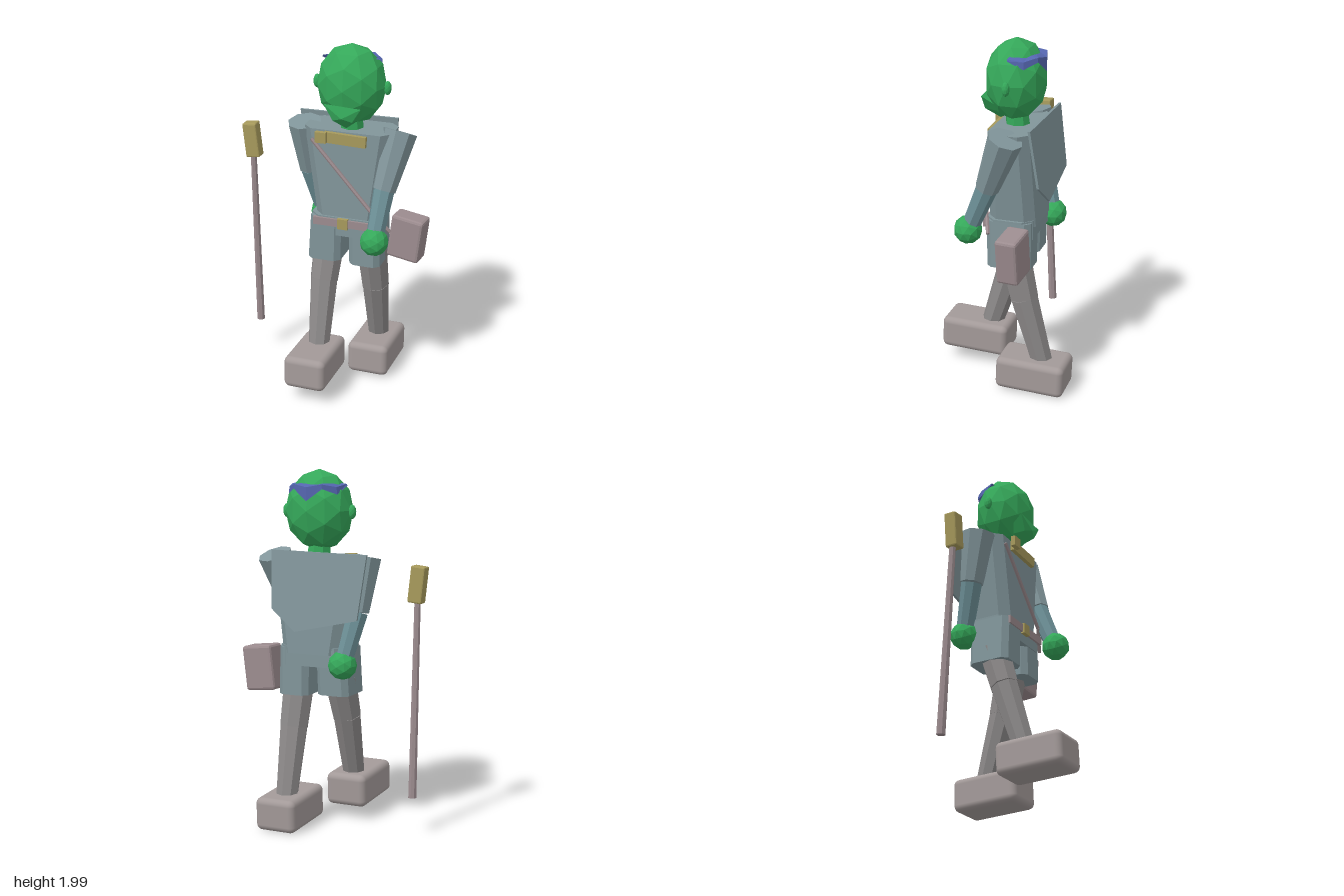
import * as THREE from 'three';
import { RoundedBoxGeometry } from 'three/addons/geometries/RoundedBoxGeometry.js';
import { ConvexGeometry } from 'three/addons/geometries/ConvexGeometry.js';

const V = (p) => new THREE.Vector3(...p);
const mat = (color, flatShading = true) => new THREE.MeshStandardMaterial({ color, flatShading });
const skin = mat(0x35a85a);
const cloth = mat(0x81959a);
const sleeve = mat(0x6d9097);
const trouser = mat(0x8c8989);
const leather = mat(0x9c8c8f);
const shoe = mat(0xa39a99, false);
const gold = mat(0xa79a5c);
const blue = mat(0x5566b0);
blue.side = THREE.DoubleSide;

export function createModel() {
  const root = new THREE.Group();

  const add = (name, geometry, material, pos = [0, 0, 0], rot = [0, 0, 0], scale = [1, 1, 1]) => {
    const mesh = new THREE.Mesh(geometry, material);
    mesh.name = name;
    mesh.position.set(...pos);
    mesh.rotation.set(...rot);
    mesh.scale.set(...scale);
    root.add(mesh);
    return mesh;
  };
  const box = (name, size, pos, material, rot) => add(name, new THREE.BoxGeometry(...size), material, pos, rot);
  const ball = (name, size, pos, material = skin) =>
    add(name, new THREE.IcosahedronGeometry(1, 1), material, pos, [0, 0, 0], size);

  // tapered faceted rod from point a to point b
  const limb = (name, a, b, ra, rb, material, sides = 8) => {
    const from = V(a), to = V(b), dir = to.clone().sub(from);
    const mesh = add(name, new THREE.CylinderGeometry(rb, ra, dir.length(), sides), material);
    mesh.position.copy(from).lerp(to, 0.5);
    mesh.quaternion.setFromUnitVectors(new THREE.Vector3(0, 1, 0), dir.normalize());
  };

  // solid block with chamfered corners; each section is [y, x, z, half width, half depth]
  const block = (name, sections, material, cut = 0.05) => {
    const points = [];
    for (const [y, x, z, w, d] of sections)
      for (const sx of [-1, 1])
        for (const sz of [-1, 1])
          points.push(V([x + sx * w, y, z + sz * (d - cut)]), V([x + sx * (w - cut), y, z + sz * d]));
    add(name, new ConvexGeometry(points), material);
  };

  // head, ears, snout and neck
  ball('head', [0.195, 0.225, 0.168], [0.105, 1.775, -0.06]);
  for (const s of [-1, 1]) ball('ear', [0.022, 0.04, 0.022], [0.105 + s * 0.2, 1.77, -0.063]);
  add('snout', new ConvexGeometry([
    [0, 1.7, 0.105], [0.21, 1.69, 0.105], [0.105, 1.63, 0.12], [0.05, 1.61, 0.1], [0.16, 1.61, 0.1],
    [0.105, 1.55, 0.03], [0.03, 1.6, -0.04], [0.18, 1.6, -0.04],
  ].map(V)), skin);
  limb('neck', [0.105, 1.49, -0.07], [0.105, 1.62, -0.06], 0.07, 0.06, skin);

  // kerchief wrapped round the back of the head, with a drooping point
  const drops = [0.005, 0.05, 0.02, 0.085, 0.02, 0.05, 0.005];
  const rows = [], index = [];
  drops.forEach((drop, i) => {
    const a = Math.PI * (i / 6), c = Math.cos(a), s = -Math.sin(a);
    rows.push(0.105 + c * 0.13, 1.925, -0.06 + s * 0.1);
    rows.push(0.105 + c * 0.165, 1.92 - 0.015 * (i % 2), -0.06 + s * 0.165);
    rows.push(0.105 + c * 0.17, 1.915 - drop, -0.06 + s * 0.165);
    if (i < 6) for (const r of [0, 1]) {
      const k = i * 3 + r;
      index.push(k, k + 3, k + 1, k + 1, k + 3, k + 4);
    }
  });
  const kerchief = new THREE.BufferGeometry();
  kerchief.setAttribute('position', new THREE.Float32BufferAttribute(rows, 3));
  kerchief.setIndex(index);
  kerchief.computeVertexNormals();
  add('kerchief', kerchief, blue);

  // coat and breeches
  block('torso', [[1.53, 0.1, -0.075, 0.25, 0.115], [0.99, 0.105, -0.08, 0.175, 0.13]], cloth);
  block('hips', [[1.03, 0.1, -0.07, 0.2, 0.13], [0.92, 0.1, -0.07, 0.2, 0.13]], cloth);
  block('rightBreechesLeg', [[1.02, -0.01, -0.06, 0.09, 0.125], [0.76, -0.02, -0.055, 0.095, 0.12]], cloth, 0.03);
  block('leftBreechesLeg', [[1.02, 0.21, -0.07, 0.09, 0.125], [0.75, 0.215, -0.07, 0.09, 0.125]], cloth, 0.03);

  // stiff short cape sloping away from the back
  const capeShape = new THREE.Shape([[0.33, 1.56], [-0.245, 1.55], [-0.21, 1.2], [0.16, 1.12], [0.31, 1.24]]
    .map(([x, y]) => new THREE.Vector2(x, y)));
  const capeGeometry = new THREE.ExtrudeGeometry(capeShape, { depth: 0.014, bevelEnabled: false });
  const cp = capeGeometry.attributes.position;
  for (let i = 0; i < cp.count; i++) cp.setZ(i, cp.getZ(i) - 0.205 - (1.56 - cp.getY(i)) * 0.14);
  capeGeometry.computeVertexNormals();
  add('cape', capeGeometry, cloth);

  // arms: shoulder, elbow, wrist, hand
  const arms = {
    left: [[0.375, 1.525, -0.085], [0.325, 1.22, 0.035], [0.31, 1.0, 0.13], [0.31, 0.96, 0.152]],
    right: [[-0.175, 1.525, -0.075], [-0.16, 1.23, -0.13], [-0.115, 0.99, -0.195], [-0.105, 0.945, -0.208]],
  };
  for (const [side, [shoulder, elbow, wrist, hand]] of Object.entries(arms)) {
    limb(side + 'UpperArm', elbow, shoulder, 0.066, 0.097, cloth);
    limb(side + 'Forearm', wrist, elbow, 0.05, 0.06, sleeve);
    ball(side + 'Hand', [0.08, 0.08, 0.08], hand);
  }

  // striding legs and chunky shoes
  const legs = {
    right: [[-0.02, 0.85, -0.06], [-0.03, 0.62, 0.012], [-0.022, 0.24, 0.13]],
    left: [[0.22, 0.85, -0.08], [0.228, 0.56, -0.145], [0.222, 0.17, -0.25]],
  };
  for (const [side, [hip, knee, ankle]] of Object.entries(legs)) {
    limb(side + 'Thigh', knee, hip, 0.082, 0.092, trouser);
    limb(side + 'Shin', ankle, knee, 0.062, 0.08, trouser);
  }
  const shoeGeometry = new RoundedBoxGeometry(0.242, 0.187, 0.395, 3, 0.035);
  add('rightShoe', shoeGeometry, shoe, [-0.018, 0.182, 0.204], [-0.04, 0, 0]);
  add('leftShoe', shoeGeometry, shoe, [0.224, 0.108, -0.204], [-0.04, 0, 0]);

  // belt, buckle, shoulder strap and satchel
  box('belt', [0.36, 0.045, 0.02], [0.105, 1.0, 0.063], leather);
  box('buckle', [0.06, 0.06, 0.025], [0.1, 1.0, 0.07], gold);
  limb('strap', [0.36, 0.97, 0.02], [0.27, 1.08, 0.06], 0.011, 0.011, leather, 6);
  limb('strap', [0.27, 1.08, 0.06], [-0.09, 1.475, 0.05], 0.011, 0.011, leather, 6);
  add('satchel', new RoundedBoxGeometry(0.19, 0.255, 0.125, 1, 0.015), leather, [0.42, 0.887, -0.14], [0, -0.1, -0.12]);

  // brass chest pieces
  box('chestBar', [0.24, 0.06, 0.026], [0.105, 1.492, 0.052], gold, [0, 0, -0.03]);
  box('chestBlock', [0.064, 0.06, 0.028], [-0.024, 1.5, 0.08], gold);

  // walking staff with a brass head
  limb('staff', [-0.48, 0.22, -0.105], [-0.48, 1.33, -0.055], 0.024, 0.018, leather);
  add('staffHead', new RoundedBoxGeometry(0.082, 0.2, 0.07, 1, 0.008), gold, [-0.48, 1.39, -0.05], [0, 0, 0.11]);

  return root;
}
